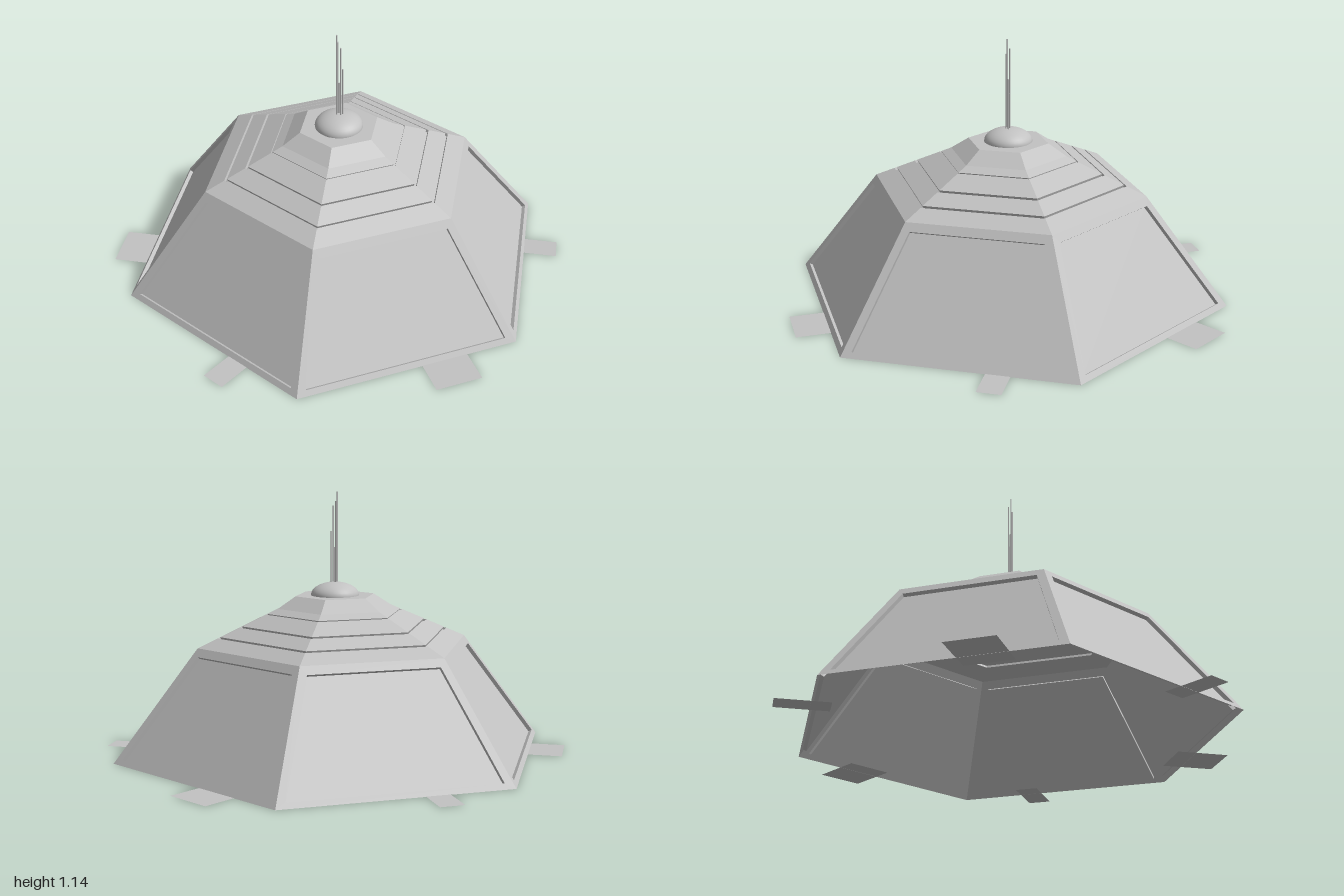
import * as THREE from 'three';

const BASE_R = 0.985, EAVE_R = 0.615, EAVE_Y = 0.48, TOP_R = 0.18, TOP_Y = 0.688;
const APOTHEM = Math.sqrt(3) / 2;

// Geometry from a list of four-cornered faces, corners counter-clockwise
function quads(list) {
  const pos = [];
  for (const [a, b, c, d] of list) for (const p of [a, b, c, a, c, d]) pos.push(p.x, p.y, p.z);
  const g = new THREE.BufferGeometry();
  g.setAttribute('position', new THREE.Float32BufferAttribute(pos, 3));
  g.computeVertexNormals();
  return g;
}

// One sloping wall facing +z: a border frame around a recessed panel
function wallGeometry() {
  const run = (BASE_R - EAVE_R) * APOTHEM;
  const normal = new THREE.Vector3(0, run, EAVE_Y).normalize();
  const at = (x, y, depth) => new THREE.Vector3(x, y, BASE_R * APOTHEM - (run * y) / EAVE_Y)
    .addScaledVector(normal, -depth);
  const trapezoid = (x0, y0, x1, y1, depth) =>
    [at(-x0, y0, depth), at(x0, y0, depth), at(x1, y1, depth), at(-x1, y1, depth)];
  const outer = trapezoid(BASE_R / 2, 0, EAVE_R / 2, EAVE_Y, 0);
  const inner = trapezoid(0.448, 0.022, 0.284, 0.447, 0);
  const panel = trapezoid(0.448, 0.022, 0.284, 0.447, 0.017);
  const faces = [panel];
  for (let i = 0; i < 4; i++) {
    const j = (i + 1) % 4;
    faces.push([outer[i], outer[j], inner[j], inner[i]], [inner[i], inner[j], panel[j], panel[i]]);
  }
  return quads(faces);
}

// Six-sided roof with narrow grooves cut round it
function roofGeometry() {
  const kinkR = 0.26, kinkY = 0.636;
  const slope = (kinkY - EAVE_Y) / (EAVE_R - kinkR);
  const normal = new THREE.Vector2(slope, 1).normalize();
  const on = (r, depth) => new THREE.Vector2(r, EAVE_Y + (EAVE_R - r) * slope)
    .addScaledVector(normal, -depth);
  const profile = [on(EAVE_R, 0)];
  for (const [r, half, depth] of [[0.522, 0.006, 0.013], [0.425, 0.006, 0.013], [0.31, 0.004, 0.005]]) {
    profile.push(on(r + half, 0), on(r + half, depth), on(r - half, depth), on(r - half, 0));
  }
  profile.push(on(kinkR, 0), new THREE.Vector2(TOP_R, TOP_Y), new THREE.Vector2(0, TOP_Y));
  return new THREE.LatheGeometry(profile, 6, Math.PI / 2);
}

export function createModel() {
  const model = new THREE.Group();
  const grey = new THREE.MeshStandardMaterial({ color: 0xc2c2c2 });
  grey.name = 'grey';
  grey.side = THREE.DoubleSide;
  const flatGrey = grey;

  const add = (name, geometry, parent = model) => {
    const mesh = new THREE.Mesh(geometry, flatGrey);
    mesh.name = name;
    parent.add(mesh);
    return mesh;
  };

  // Walls and ground tabs, alternately wide and narrow
  const wall = wallGeometry();
  for (let i = 0; i < 6; i++) {
    const side = new THREE.Group();
    side.name = 'side' + (i + 1);
    side.rotation.y = (i * Math.PI) / 3;
    model.add(side);
    add('wallPanel', wall, side);
    const [x0, x1] = i % 2 ? [0.11, 0.213] : [0.06, 0.265];
    const tab = new THREE.PlaneGeometry(x1 - x0, 0.23).rotateX(-Math.PI / 2);
    add('groundTab', tab.translate((x0 + x1) / 2, 0.001, 0.885), side);
  }

  // Roof, faceted
  const roof = roofGeometry().toNonIndexed();
  roof.computeVertexNormals();
  add('roof', roof);

  // Smooth cap on top
  const cap = new THREE.SphereGeometry(0.106, 32, 10, 0, Math.PI * 2, 0, Math.PI / 2);
  add('domeCap', cap.scale(1, 0.55, 1).translate(0, TOP_Y, 0));

  // Cluster of thin antennas: x, z, top height
  const rods = [[-0.011, 0.001, 1.14], [-0.002, -0.008, 1.1], [0.004, 0.011, 1.08],
    [0.016, 0.004, 0.97], [0.004, -0.006, 0.9]];
  for (const [x, z, top] of rods) {
    const h = top - 0.73;
    add('antenna', new THREE.CylinderGeometry(0.003, 0.003, h, 8).translate(x, 0.73 + h / 2, z));
  }
  return model;
}
